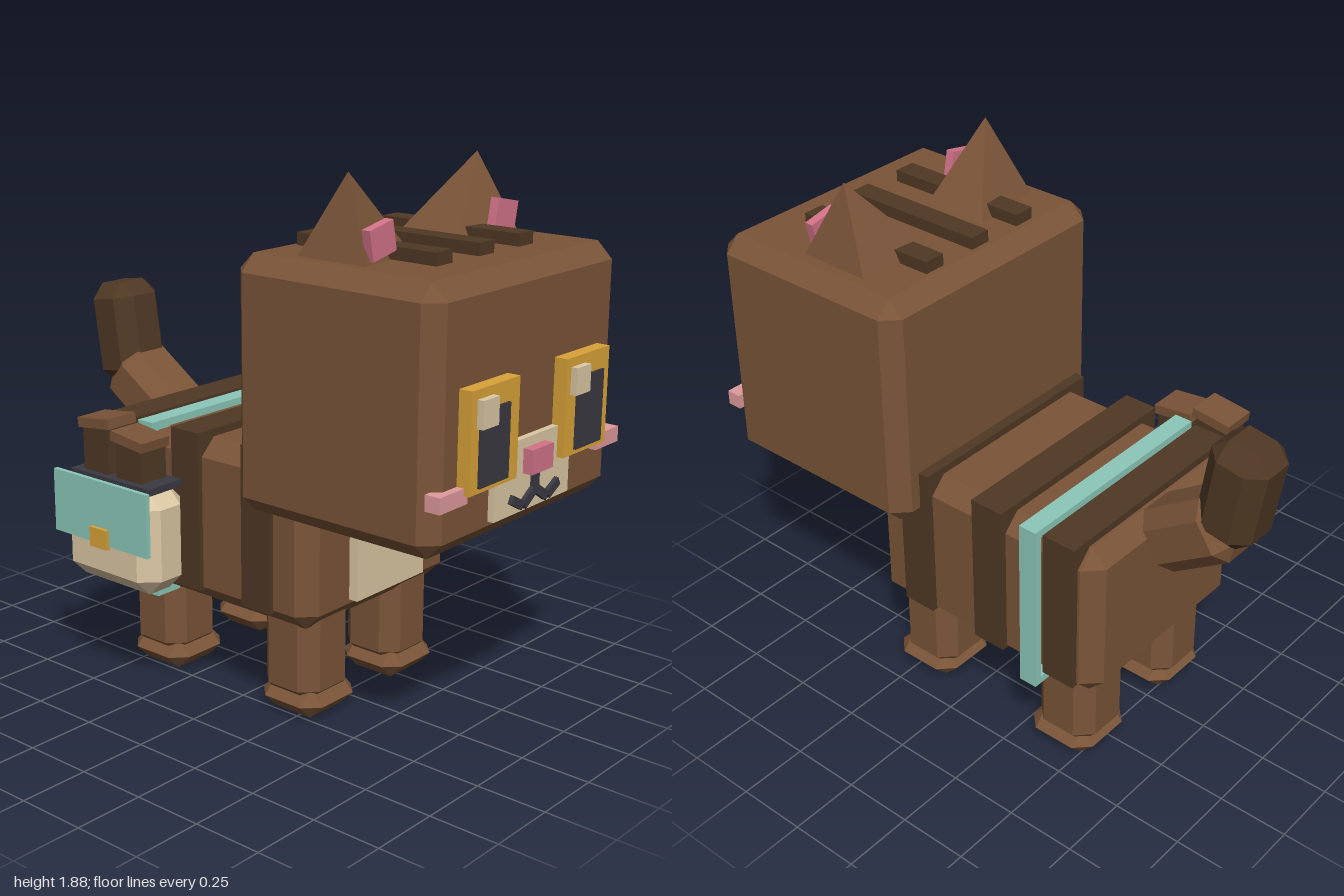
import * as THREE from 'three';
import { ConvexGeometry } from 'three/addons/geometries/ConvexGeometry.js';

const mat = (name, color) => {
  const m = new THREE.MeshStandardMaterial({ color });
  m.name = name;
  return m;
};
const M = {
  fur: mat('brown fur', 0x7a5438),
  stripe: mat('dark brown stripe', 0x4f3824),
  cream: mat('cream', 0xdcc8a4),
  gold: mat('gold', 0xd9a339),
  pink: mat('pink', 0xd4738a),
  blush: mat('blush', 0xe09a9c),
  teal: mat('teal strap', 0x8cc8ba),
  dark: mat('charcoal', 0x3a3842),
};
const CX = 0.073; // the animal's own middle line

// Box with every edge and corner cut off
function chamferBox(w, h, d, b) {
  const pts = [];
  const [x, y, z] = [w / 2, h / 2, d / 2];
  for (const i of [-1, 1]) for (const j of [-1, 1]) for (const k of [-1, 1]) {
    pts.push(
      new THREE.Vector3(i * x, j * (y - b), k * (z - b)),
      new THREE.Vector3(i * (x - b), j * y, k * (z - b)),
      new THREE.Vector3(i * (x - b), j * (y - b), k * z));
  }
  return new ConvexGeometry(pts);
}

export function createModel() {
  const root = new THREE.Group();
  root.name = 'cat';

  const add = (parent, name, geo, material, x, y, z) => {
    const mesh = new THREE.Mesh(geo, material);
    mesh.name = name;
    mesh.position.set(x, y, z);
    parent.add(mesh);
    return mesh;
  };
  // Plain or chamfered box given by its limits on each axis
  const box = (parent, name, material, [x0, x1], [y0, y1], [z0, z1], bevel = 0) => {
    const s = [x1 - x0, y1 - y0, z1 - z0];
    const geo = bevel ? chamferBox(...s, bevel) : new THREE.BoxGeometry(...s);
    return add(parent, name, geo, material, (x0 + x1) / 2, (y0 + y1) / 2, (z0 + z1) / 2);
  };
  const group = (name) => {
    const g = new THREE.Group();
    g.name = name;
    root.add(g);
    return g;
  };

  // Body, chest patch and stripes
  const body = group('body');
  box(body, 'torso', M.fur, [-0.325, 0.465], [0.34, 0.93], [-0.61, 0.36], 0.06);
  box(body, 'chestPatch', M.cream, [-0.11, 0.257], [0.415, 0.8], [0.33, 0.395]);
  for (const z of [0.145, -0.177, -0.477]) {
    box(body, 'bodyStripe', M.stripe, [-0.342, 0.485], [0.39, 0.957], [z - 0.064, z + 0.064]);
  }

  // Legs and paws
  const legs = group('legs');
  for (const x of [CX - 0.222, CX + 0.222]) for (const z of [0.203, -0.427]) {
    box(legs, 'leg', M.fur, [x - 0.122, x + 0.122], [0.045, 0.42], [z - 0.12, z + 0.12], 0.055);
    box(legs, 'paw', M.fur, [x - 0.135, x + 0.135], [0, 0.108], [z - 0.122, z + 0.143], 0.0535);
  }

  // Tail in two tilted blocks
  const tail = group('tail');
  add(tail, 'tailBase', chamferBox(0.24, 0.36, 0.23, 0.055), M.fur, CX, 0.904, -0.722).rotation.x = -0.98;
  add(tail, 'tailTip', chamferBox(0.22, 0.38, 0.215, 0.055), M.stripe, CX, 1.125, -0.874).rotation.x = -0.155;

  // Head with crown stripes
  const head = group('head');
  box(head, 'skull', M.fur, [-0.432, 0.578], [0.763, 1.613], [0.12, 0.928], 0.056);
  for (const x of [CX - 0.222, CX, CX + 0.218]) {
    box(head, 'crownStripe', M.stripe, [x - 0.04, x + 0.04], [1.58, 1.655], [0.195, 0.747]);
  }

  // Mirrored face parts and ears
  for (const s of [-1, 1]) {
    const span = (a, b) => [Math.min(CX + s * a, CX + s * b), Math.max(CX + s * a, CX + s * b)];
    const v = (a, y, z) => new THREE.Vector3(CX + s * a, y, z);
    add(head, 'ear', new ConvexGeometry([
      v(0.338, 1.88, 0.464), v(0.415, 1.6, 0.318), v(0.115, 1.6, 0.29),
      v(0.115, 1.6, 0.55), v(0.41, 1.6, 0.6)]), M.fur, 0, 0, 0);
    add(head, 'innerEar', new THREE.BoxGeometry(0.115, 0.1, 0.032), M.pink, CX + s * 0.328, 1.682, 0.58)
      .rotation.z = -s * 0.2;

    box(head, 'eye', M.gold, span(0.132, 0.382), [0.965, 1.29], [0.9, 0.975]);
    box(head, 'pupil', M.dark, span(0.19, 0.342), [0.982, 1.222], [0.975, 0.984]);
    box(head, 'cheek', M.blush, span(0.362, 0.502), [0.935, 0.988], [0.9, 0.955]);

    // Mouth curls
    for (const [a, tilt] of [[0.036, -0.58], [0.102, 0.5]]) {
      add(head, 'mouthCurl', new THREE.BoxGeometry(0.068, 0.03, 0.03), M.dark, CX + s * a, 0.873, 0.95)
        .rotation.z = s * tilt;
    }
  }
  for (const x of [-0.24, 0.27]) {
    box(head, 'eyeGlint', M.cream, [x - 0.041, x + 0.041], [1.17, 1.26], [0.97, 0.998]);
  }
  box(head, 'muzzle', M.cream, [-0.14, 0.28], [0.833, 1.07], [0.9, 0.95]);
  box(head, 'nose', M.pink, [0.013, 0.131], [0.957, 1.038], [0.93, 0.985]);
  box(head, 'mouthStem', M.dark, [CX - 0.015, CX + 0.015], [0.88, 0.96], [0.94, 0.965]);

  // Strap wrapped round the body
  const strap = group('strap');
  const sz = [-0.39, -0.322];
  box(strap, 'strapTop', M.teal, [-0.34, 0.492], [0.925, 0.956], sz);
  box(strap, 'strapBottom', M.teal, [-0.34, 0.48], [0.314, 0.342], sz);
  box(strap, 'strapLeft', M.teal, [0.463, 0.492], [0.314, 0.956], sz);
  box(strap, 'strapRight', M.teal, [-0.352, -0.323], [0.34, 0.956], sz);

  // Side pouch with flap, clasp and its contents
  const pouch = group('pouch');
  box(pouch, 'pouchBody', M.cream, [-0.555, -0.342], [0.4, 0.775], [-0.585, -0.143], 0.06);
  box(pouch, 'pouchRim', M.dark, [-0.525, -0.365], [0.765, 0.79], [-0.55, -0.17]);
  box(pouch, 'pouchFlap', M.teal, [-0.57, -0.553], [0.565, 0.79], [-0.59, -0.135]);
  box(pouch, 'clasp', M.gold, [-0.584, -0.565], [0.555, 0.625], [-0.4, -0.32]);
  for (const [z, y, tilt] of [[-0.288, 0.93, 0.12], [-0.448, 0.965, -0.12]]) {
    box(pouch, 'parcel', M.stripe, [-0.5, -0.382], [0.77, y], [z - 0.06, z + 0.06]);
    add(pouch, 'parcelCap', new THREE.BoxGeometry(0.13, 0.035, 0.152), M.fur, -0.445, y, z).rotation.x = tilt;
  }

  return root;
}
